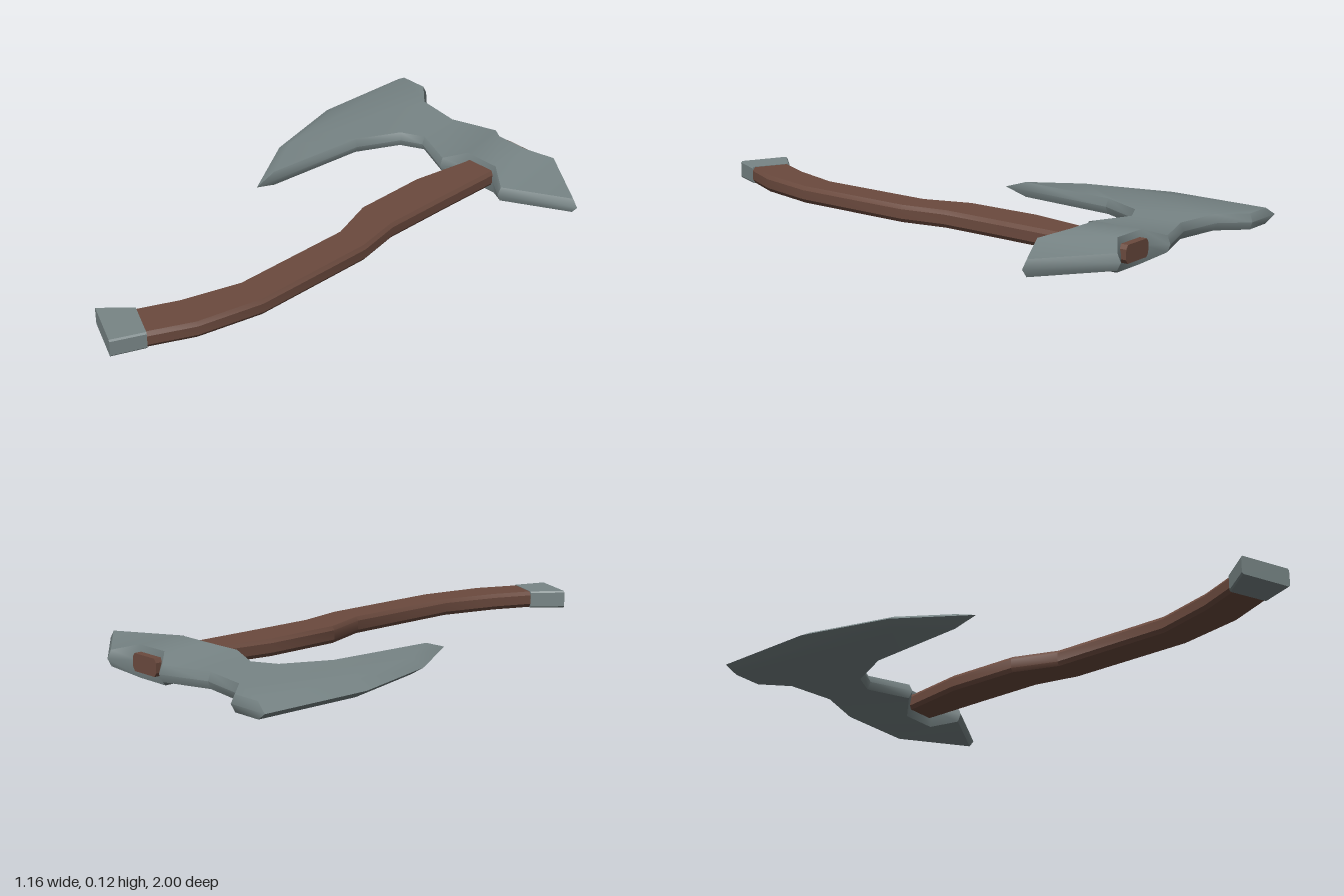
import * as THREE from 'three';
import { toCreasedNormals } from 'three/addons/utils/BufferGeometryUtils.js';

const MID = 0.0625; // height of the middle plane of the axe

// Outline of the head as [x, z]
const OUTLINE = [
  [-0.57, -1], [-0.41, -1], [-0.32, -0.91], [-0.15, -0.885], [0.03, -0.945],
  [0.1, -0.885], [0.23, -0.885], [0.32, -0.945], [0.578, -0.755], [0.32, -0.61],
  [0.23, -0.68], [0.1, -0.68], [0.03, -0.61], [-0.13, -0.68], [-0.21, -0.64],
  [-0.29, -0.48], [-0.335, 0], [-0.495, -0.26], [-0.583, -0.6],
];
const EYE = [5, 6, 10, 11];       // corners of the thick socket
const CUTTING = [16, 17, 18];     // edges with the wide sharpening bevel
const PANELS = [                  // pieces of the broad faces
  [0, 1, 2, 3, 13, 14, 15, 16, 17, 18], [3, 4, 12, 13], [4, 5, 11, 12],
  [5, 6, 10, 11], [6, 7, 9, 10], [7, 8, 9],
];

function finish(triangles, crease) {
  const g = new THREE.BufferGeometry();
  g.setAttribute('position', new THREE.Float32BufferAttribute(triangles.flat(2), 3));
  return toCreasedNormals(g, crease);
}

// Outline moved inwards, each edge by its own bevel width
function insetOutline() {
  const n = OUTLINE.length;
  const normals = OUTLINE.map(([x, z], i) => {
    const [x2, z2] = OUTLINE[(i + 1) % n];
    const l = Math.hypot(x2 - x, z2 - z);
    return [-(z2 - z) / l, (x2 - x) / l];
  });
  const width = i => (CUTTING.includes(i) ? 0.045 : 0.012);
  return OUTLINE.map(([x, z], i) => {
    const p = (i + n - 1) % n;
    const [ax, az] = normals[p], [bx, bz] = normals[i];
    const da = width(p), db = width(i), det = ax * bz - az * bx;
    return [x + (da * bz - db * az) / det, z + (ax * db - bx * da) / det];
  });
}

function headGeometry() {
  const n = OUTLINE.length, tris = [];
  const inner = insetOutline();
  const edge = OUTLINE.map(([x, z]) => [x, MID, z]);
  const top = inner.map(([x, z], i) => [x, EYE.includes(i) ? 0.116 : 0.0915, z]);
  const bottom = inner.map(([x, z], i) => [x, EYE.includes(i) ? 0 : 0.0345, z]);

  // Bevelled rim
  const band = (lo, hi) => {
    for (let i = 0; i < n; i++) {
      const j = (i + 1) % n;
      tris.push([lo[i], hi[i], hi[j]], [lo[i], hi[j], lo[j]]);
    }
  };
  band(bottom, edge);
  band(edge, top);

  // Broad faces
  for (const panel of PANELS) {
    const flat = panel.map(i => new THREE.Vector2(...inner[i]));
    for (const t of THREE.ShapeUtils.triangulateShape(flat, [])) {
      let [a, b, c] = t.map(k => panel[k]);
      const [A, B, C] = [a, b, c].map(i => inner[i]);
      const area = (B[0] - A[0]) * (C[1] - A[1]) - (B[1] - A[1]) * (C[0] - A[0]);
      if (area < 0) [b, c] = [c, b];
      tris.push([top[a], top[c], top[b]], [bottom[a], bottom[b], bottom[c]]);
    }
  }
  return finish(tris, 0.87);
}

// Loft of chamfered rectangles; a station is [xLeft, zLeft, xRight, zRight, halfHeight]
function loft(stations, cw, ch, crease) {
  const rings = stations.map(([x1, z1, x2, z2, h]) => {
    const t = cw / Math.hypot(x2 - x1, z2 - z1);
    const section = [[t, -h], [1 - t, -h], [1, -h + ch], [1, h - ch],
      [1 - t, h], [t, h], [0, h - ch], [0, -h + ch]];
    return section.map(([s, y]) => [x1 + (x2 - x1) * s, MID + y, z1 + (z2 - z1) * s]);
  });
  const tris = [];
  for (let k = 0; k + 1 < rings.length; k++) {
    const a = rings[k], b = rings[k + 1];
    for (let i = 0; i < 8; i++) {
      const j = (i + 1) % 8;
      tris.push([a[i], a[j], b[j]], [a[i], b[j], b[i]]);
    }
  }
  const first = rings[0], last = rings[rings.length - 1];
  for (let i = 1; i < 7; i++) {
    tris.push([first[0], first[i + 1], first[i]], [last[0], last[i], last[i + 1]]);
  }
  return finish(tris, crease);
}

export function createModel() {
  const steel = new THREE.MeshStandardMaterial({ color: 0x788586 });
  steel.name = 'steel';
  const wood = new THREE.MeshStandardMaterial({ color: 0x6b4a3e });
  wood.name = 'wood';

  const axe = new THREE.Group();
  axe.name = 'axe';
  const add = (name, geometry, material) => {
    const mesh = new THREE.Mesh(geometry, material);
    mesh.name = name;
    axe.add(mesh);
  };

  add('axeHead', headGeometry(), steel);

  // Curved shaft, running through the head and out at the back
  add('handle', loft([
    [0.1, -0.905, 0.23, -0.905, 0.031],
    [0.1, -0.67, 0.23, -0.66, 0.031],
    [0.06, -0.44, 0.225, -0.42, 0.031],
    [0.06, -0.155, 0.222, -0.155, 0.031],
    [0.118, 0.015, 0.255, 0.015, 0.031],
    [0.113, 0.475, 0.25, 0.49, 0.031],
    [0.05, 0.685, 0.197, 0.73, 0.031],
    [-0.02, 0.84, 0.115, 0.905, 0.031],
  ], 0.01, 0.014, 0.6), wood);

  // Flared metal cap at the end of the shaft
  add('pommel', loft([
    [-0.015, 0.822, 0.125, 0.885, 0.0325],
    [-0.103, 0.922, 0.076, 1, 0.0335],
  ], 0.005, 0.006, 0.6), steel);

  return axe;
}
